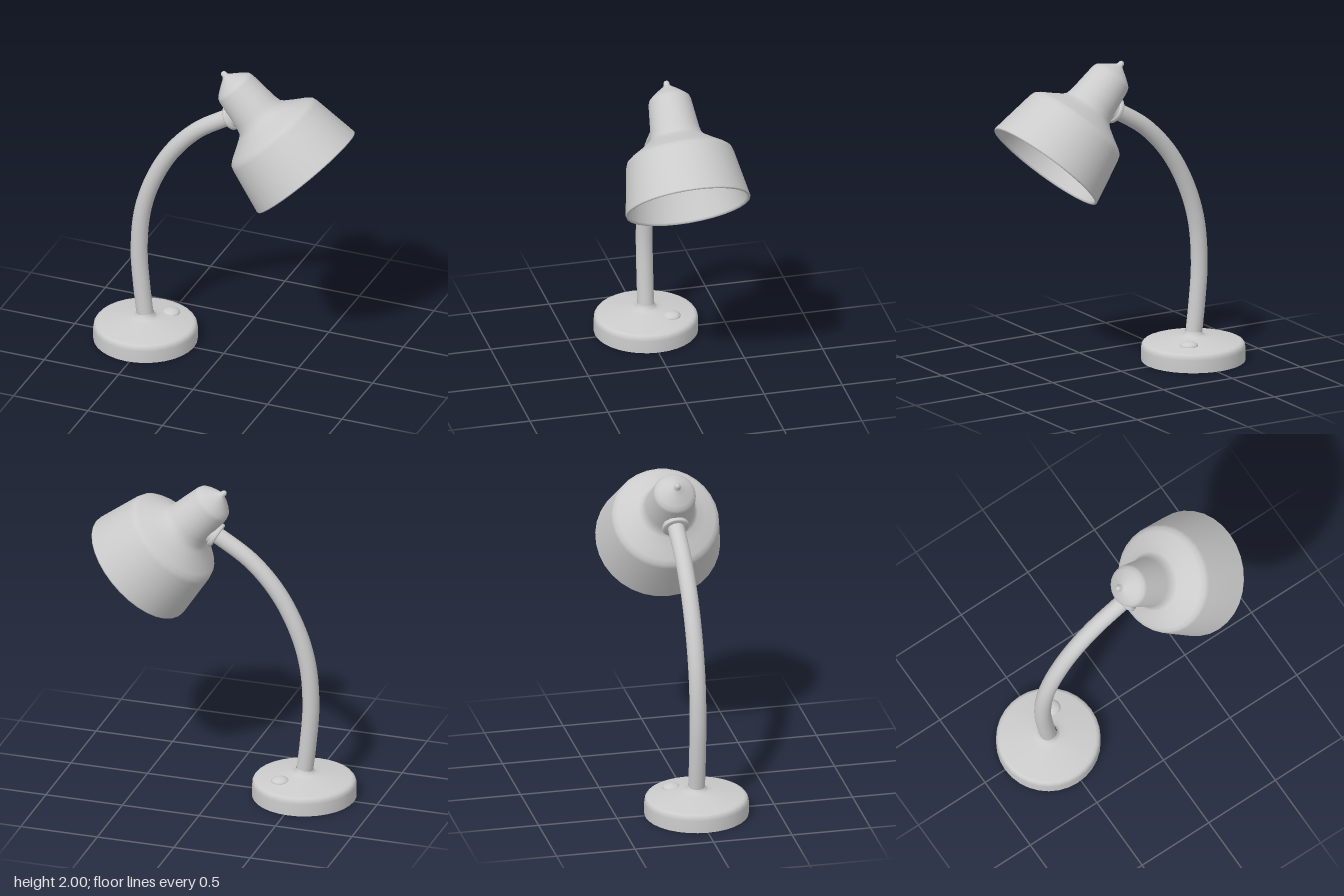
import * as THREE from 'three';

const grey = new THREE.MeshStandardMaterial({ color: 0xcccccc, side: THREE.DoubleSide });

function part(name, geometry, parent) {
  const mesh = new THREE.Mesh(geometry, grey);
  mesh.name = name;
  parent.add(mesh);
  return mesh;
}

// Surface of revolution from [radius, height] pairs
function turned(profile, sides = 32) {
  return new THREE.LatheGeometry(profile.map(([r, y]) => new THREE.Vector2(r, y)), sides);
}

export function createModel() {
  const lamp = new THREE.Group();
  lamp.name = 'deskLamp';

  // Base: hollow shell, open underneath, with a small flare around the arm
  const base = part('base', turned([
    [0.325, 0], [0.325, 0.02], [0.325, 0.08], [0.322, 0.1], [0.312, 0.114], [0.295, 0.12],
    [0.2, 0.136], [0.11, 0.152], [0.075, 0.158], [0.058, 0.17], [0.052, 0.19],
  ]), lamp);
  base.position.x = -0.525;

  // Switch: flattened dome on the sloping top
  const button = part('switchButton', new THREE.SphereGeometry(0.057, 20, 10, 0, Math.PI * 2, 0, Math.PI / 2), lamp);
  button.scale.y = 0.5;
  button.position.set(-0.41, 0.136, -0.135);

  // Arm: curved tube from the base to the shade
  const path = new THREE.CatmullRomCurve3([
    [-0.525, 0.15], [-0.55, 0.36], [-0.568, 0.62], [-0.545, 0.9], [-0.47, 1.14],
    [-0.345, 1.365], [-0.18, 1.545], [0, 1.665], [0.1, 1.72],
  ].map(([x, y]) => new THREE.Vector3(x, y, 0)));
  part('arm', new THREE.TubeGeometry(path, 40, 0.053, 16), lamp);

  // Collar: stepped ring where the arm meets the shade
  const collar = part('collar', turned([
    [0.05, -0.012], [0.078, -0.012], [0.084, -0.006], [0.084, 0.012], [0.078, 0.018],
    [0.07, 0.02], [0.07, 0.08], [0, 0.08],
  ], 24), lamp);
  collar.position.set(0.05, 1.69, 0);
  collar.rotation.z = -1.04;

  // Shade: inner wall, rim, outer bell, neck and finial, tilted as one
  const shade = part('shade', turned([
    [0, 0.7], [0.09, 0.69], [0.122, 0.66], [0.14, 0.48], [0.17, 0.43], [0.28, 0.345], [0.318, 0.31],
    [0.374, 0.012], [0.38, 0], [0.391, 0], [0.393, 0.008],
    [0.366, 0.16], [0.34, 0.305], [0.33, 0.333], [0.305, 0.354], [0.24, 0.395], [0.185, 0.432],
    [0.164, 0.455], [0.154, 0.5], [0.134, 0.685], [0.126, 0.708], [0.105, 0.728],
    [0.06, 0.762], [0.028, 0.783], [0.019, 0.795], [0.018, 0.81], [0.011, 0.82], [0, 0.823],
  ]), lamp);
  shade.position.set(0.555, 1.4, 0);
  shade.rotation.z = 0.759;

  return lamp;
}
